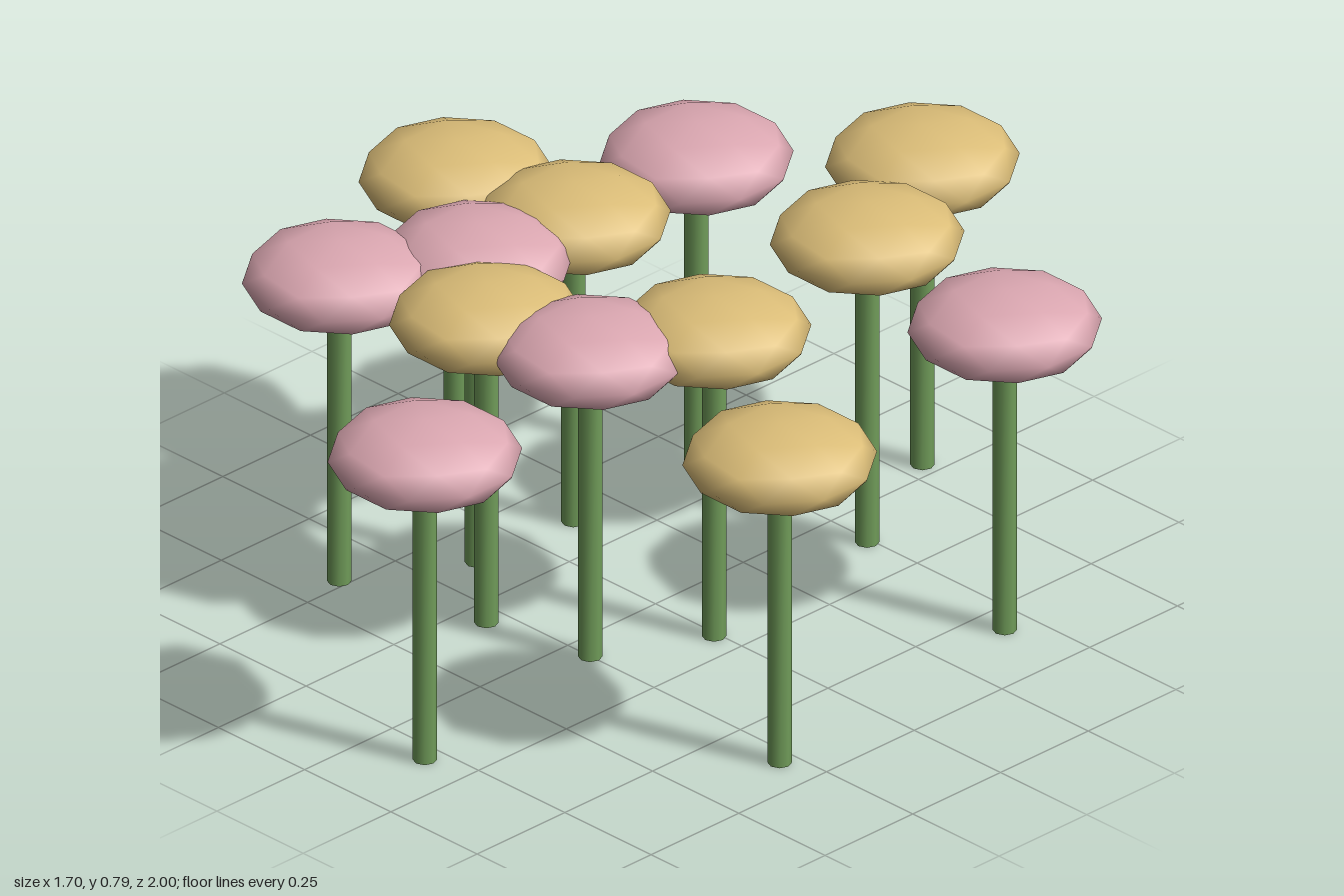
import * as THREE from 'three';
import { mergeVertices } from 'three/addons/utils/BufferGeometryUtils.js';

// x, z and colour of each flower
const FLOWERS = [
  [-0.04, -0.8, 'ochre'], [0.115, -0.49, 'ochre'], [0.575, -0.43, 'pink'],
  [-0.37, -0.48, 'pink'], [-0.66, -0.08, 'ochre'], [-0.365, -0.125, 'ochre'],
  [0.18, 0.01, 'ochre'], [-0.38, 0.135, 'pink'], [0.065, 0.25, 'pink'],
  [-0.185, 0.3, 'ochre'], [-0.52, 0.39, 'pink'], [0.655, 0.29, 'ochre'],
  [0.14, 0.795, 'pink'],
];
const HEAD_Y = 0.705;

function material(name, color) {
  const m = new THREE.MeshStandardMaterial({ color });
  m.name = name;
  return m;
}

// Flattened icosphere standing on one of its corners
function headGeometry() {
  const g = new THREE.IcosahedronGeometry(1, 1);
  g.rotateX(-Math.atan((1 + Math.sqrt(5)) / 2));
  g.rotateY(Math.PI / 2);
  g.scale(0.2, 0.083, 0.2);
  return g;
}

// Thin rod whose normals run smoothly over the end caps
function stemGeometry() {
  const rod = new THREE.CylinderGeometry(0.025, 0.025, HEAD_Y, 8);
  rod.deleteAttribute('normal');
  rod.deleteAttribute('uv');
  const g = mergeVertices(rod, 1e-4);
  g.computeVertexNormals();
  return g;
}

export function createModel() {
  const model = new THREE.Group();
  model.name = 'flowerPatch';
  const petals = {
    ochre: material('ochre', 0xdbbd78),
    pink: material('pink', 0xdba7b1),
  };
  const green = material('stemGreen', 0x719d5a);
  const headGeo = headGeometry();
  const stemGeo = stemGeometry();

  FLOWERS.forEach(([x, z, colour]) => {
    const flower = new THREE.Group();
    flower.name = 'flower';
    flower.position.set(x, 0, z);

    const stem = new THREE.Mesh(stemGeo, green);
    stem.name = 'stem';
    stem.position.y = HEAD_Y / 2;

    const head = new THREE.Mesh(headGeo, petals[colour]);
    head.name = 'flowerHead';
    head.position.y = HEAD_Y;

    flower.add(stem, head);
    model.add(flower);
  });
  return model;
}
